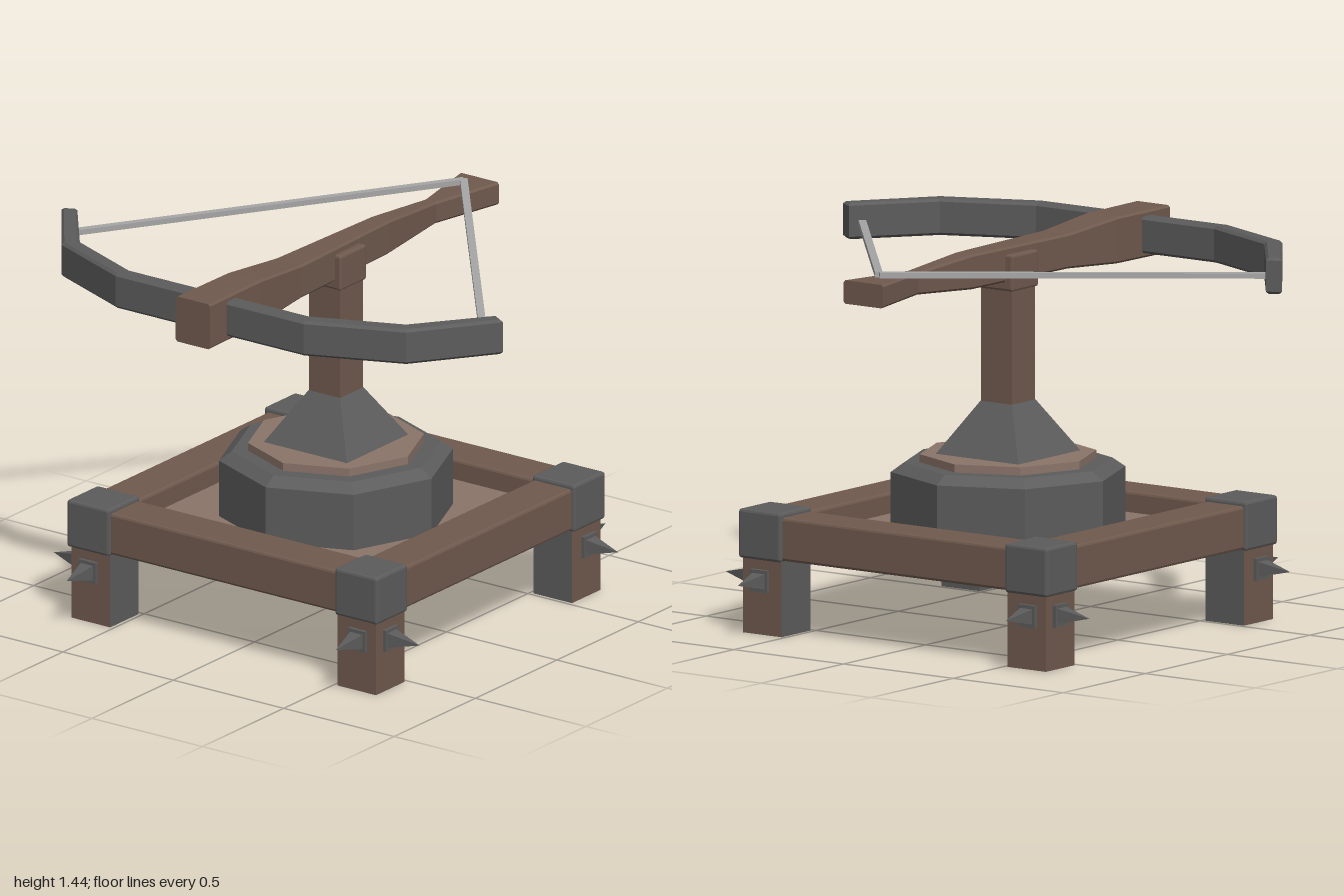
import * as THREE from 'three';
import { RoundedBoxGeometry } from 'three/addons/geometries/RoundedBoxGeometry.js';

const paint = (color) => new THREE.MeshStandardMaterial({ color, flatShading: true });

export function createModel() {
  const model = new THREE.Group();
  const wood = paint(0x705a4e), paleWood = paint(0x8b756a);
  const iron = paint(0x5c5c5c), cord = paint(0xa6a6a6);

  const add = (name, geometry, material, x = 0, y = 0, z = 0, parent = model) => {
    const mesh = new THREE.Mesh(geometry, material);
    mesh.name = name;
    mesh.position.set(x, y, z);
    parent.add(mesh);
    return mesh;
  };
  // box with chamfered edges
  const block = (w, h, d, r = 0.01) => new RoundedBoxGeometry(w, h, d, 1, r);
  // four-sided taper, sizes are half widths
  const taper = (top, bottom, h) =>
    new THREE.CylinderGeometry(top * Math.SQRT2, bottom * Math.SQRT2, h, 4).rotateY(Math.PI / 4);

  // base frame
  add('floorPanel', new THREE.BoxGeometry(1.3, 0.08, 1.3), paleWood, 0, 0.325, 0);
  for (const s of [-1, 1]) {
    add('crossBeam', block(1.36, 0.16, 0.175), wood, 0, 0.362, s * 0.602);
    add('sideBeam', block(0.175, 0.16, 1.36), wood, s * 0.602, 0.362, 0);
  }

  // corners: leg lined with iron on its inner faces, iron cap, two outward spikes
  const spike = (parent, x, z, angle) => {
    const group = new THREE.Group();
    group.name = 'spike';
    add('spikePlate', new THREE.BoxGeometry(0.078, 0.082, 0.014), iron, 0, 0, 0.007, group);
    add('spikePoint', taper(0, 0.028, 0.125).rotateX(Math.PI / 2), iron, 0, 0, 0.076, group);
    group.position.set(x, 0.2, z);
    group.rotation.y = angle;
    parent.add(group);
  };
  for (const sx of [-1, 1]) for (const sz of [-1, 1]) {
    const corner = new THREE.Group();
    corner.name = 'corner';
    const faces = [
      sx > 0 ? wood : iron, sx > 0 ? iron : wood, wood, wood,
      sz > 0 ? wood : iron, sz > 0 ? iron : wood,
    ];
    add('leg', new THREE.BoxGeometry(0.175, 0.32, 0.175), faces, sx * 0.602, 0.16, sz * 0.602, corner);
    add('cornerCap', block(0.192, 0.182, 0.192), iron, sx * 0.607, 0.368, sz * 0.607, corner);
    spike(corner, sx * 0.69, sz * 0.61, sx * Math.PI / 2);
    spike(corner, sx * 0.61, sz * 0.69, sz > 0 ? 0 : Math.PI);
    model.add(corner);
  }

  // octagonal turntable
  const drum = [[0, 0.34], [0.432, 0.34], [0.432, 0.58], [0.385, 0.613], [0, 0.613]]
    .map(([r, y]) => new THREE.Vector2(r, y));
  add('turntable', new THREE.LatheGeometry(drum, 8), iron);
  add('turntableDisc', new THREE.CylinderGeometry(0.325, 0.325, 0.04, 8), paleWood, 0, 0.623, 0);

  // pedestal
  add('pedestalFoot', taper(0.072, 0.19, 0.195), iron, 0, 0.7375, 0);
  add('post', new THREE.BoxGeometry(0.14, 0.5, 0.14), wood, 0, 1.04, 0);
  add('cradle', block(0.16, 0.135, 0.16, 0.008), wood, 0, 1.322, 0);

  // stock: z, half width, bottom, top
  add('stock', loft([
    [0.88, 0.078, 1.265, 1.44],
    [0.57, 0.074, 1.267, 1.44],
    [0.29, 0.062, 1.287, 1.416],
    [0, 0.052, 1.287, 1.416],
    [-0.27, 0.042, 1.287, 1.416],
    [-0.58, 0.028, 1.31, 1.394],
    [-0.88, 0.09, 1.308, 1.395],
  ], 0.008), wood);

  // bow, outlined from above
  const outer = [[1, 0.33], [0.78, 0.628], [0.425, 0.777]];
  const inner = [[0.405, 0.712], [0.738, 0.572], [0.95, 0.3]];
  const half = [...outer.slice().reverse(), ...inner.slice().reverse()];
  const outline = [...half, ...half.slice().reverse().map(([x, z]) => [-x, z])];
  const bowShape = new THREE.Shape(outline.map(([x, z]) => new THREE.Vector2(x, -z)));
  const bow = new THREE.ExtrudeGeometry(bowShape, {
    depth: 0.115, bevelSize: 0.01, bevelOffset: -0.01, bevelThickness: 0.01, bevelSegments: 1,
  }).rotateX(-Math.PI / 2);
  add('bow', bow, iron, 0, 1.295, 0);

  // drawn string
  const nock = new THREE.Vector3(0, 1.41, -0.785);
  for (const s of [-1, 1]) {
    const tip = new THREE.Vector3(s * 0.935, 1.345, 0.36);
    const string = add('string', new THREE.BoxGeometry(0.028, 0.02, nock.distanceTo(tip)), cord);
    string.position.copy(nock).lerp(tip, 0.5);
    string.lookAt(tip);
  }
  return model;
}

// closed loft of chamfered rectangles, stations run from +z to -z
function loft(stations, c) {
  const points = [], index = [], n = 8;
  for (const [z, w, y0, y1] of stations) {
    const ring = [
      [w, y0 + c], [w, y1 - c], [w - c, y1], [c - w, y1],
      [-w, y1 - c], [-w, y0 + c], [c - w, y0], [w - c, y0],
    ];
    for (const [x, y] of ring) points.push(x, y, z);
  }
  const last = (stations.length - 1) * n;
  for (let i = 0; i < last; i += n) {
    for (let j = 0; j < n; j++) {
      const k = (j + 1) % n;
      index.push(i + n + j, i + n + k, i + j, i + j, i + n + k, i + k);
    }
  }
  for (let j = 1; j < n - 1; j++) index.push(0, j, j + 1, last, last + j + 1, last + j);
  const geometry = new THREE.BufferGeometry();
  geometry.setAttribute('position', new THREE.Float32BufferAttribute(points, 3));
  geometry.setIndex(index);
  geometry.computeVertexNormals();
  return geometry;
}
